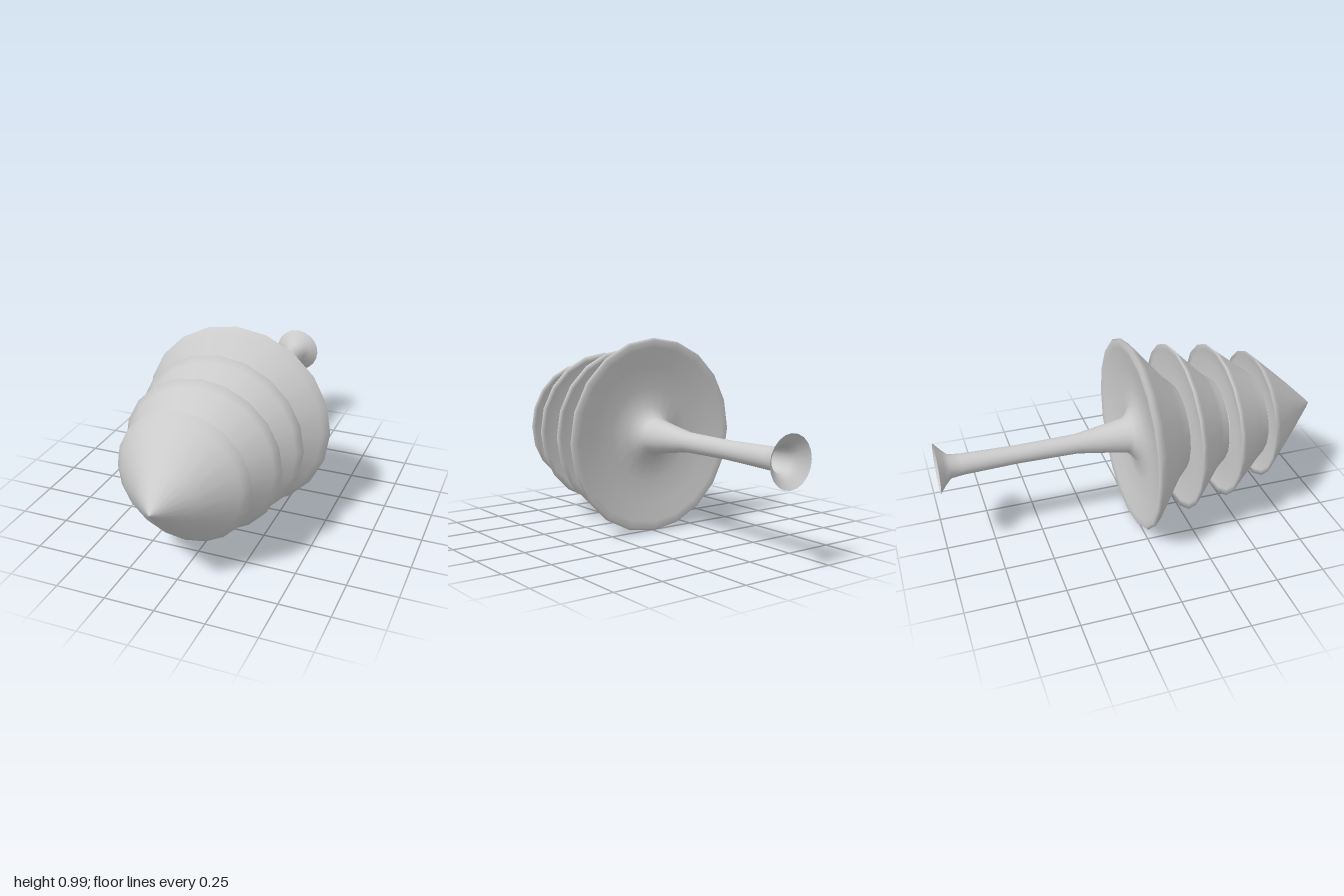
import * as THREE from 'three';

const SIDES = 20;
const AXIS_Y = 0.497;

export function createModel() {
  const group = new THREE.Group();
  const material = new THREE.MeshStandardMaterial({ color: 0xcccccc, side: THREE.DoubleSide });

  // Turns a profile of [radius, z] pairs, ordered back to front, about the z axis
  function turned(name, profile) {
    const points = profile.map(([r, z]) => new THREE.Vector2(r, z));
    const geometry = new THREE.LatheGeometry(points, SIDES);
    geometry.rotateX(Math.PI / 2);
    geometry.translate(0, AXIS_Y, 0);
    const mesh = new THREE.Mesh(geometry, material);
    mesh.name = name;
    group.add(mesh);
  }

  // Slender trunk with an open flared foot, running into the dished base
  turned('trunkAndBaseTier', [
    [0.125, -1], [0.09, -0.97], [0.06, -0.94], [0.053, -0.88],
    [0.046, -0.6], [0.05, -0.3], [0.068, -0.18], [0.09, -0.045], [0.11, -0.02],
    [0.15, 0.01], [0.24, 0.02], [0.36, 0], [0.45, -0.018], [0.485, -0.025],
    [0.497, -0.012], [0.465, 0.025], [0.28, 0.175], [0.23, 0.23],
  ]);

  // Middle tiers: hollowed underside, sharp rim, cone drawn in to a neck
  const tiers = [
    { rim: 0.435, back: 0.22, neck: 0.22, front: 0.445 },
    { rim: 0.403, back: 0.437, neck: 0.22, front: 0.66 },
  ];
  for (const { rim, back, neck, front } of tiers) {
    turned('middleTier', [
      [0.21, back + 0.015], [0.3, back + 0.02], [rim - 0.03, back + 0.006], [rim, back],
      [rim - 0.03, back + 0.032], [neck + 0.045, front - 0.06], [neck + 0.025, front - 0.035], [neck, front],
    ]);
  }

  // Pointed top tier
  turned('topTier', [
    [0.2, 0.67], [0.26, 0.668], [0.31, 0.656], [0.335, 0.652],
    [0.3, 0.69], [0.15, 0.85], [0.03, 0.972], [0, 1],
  ]);

  return group;
}
